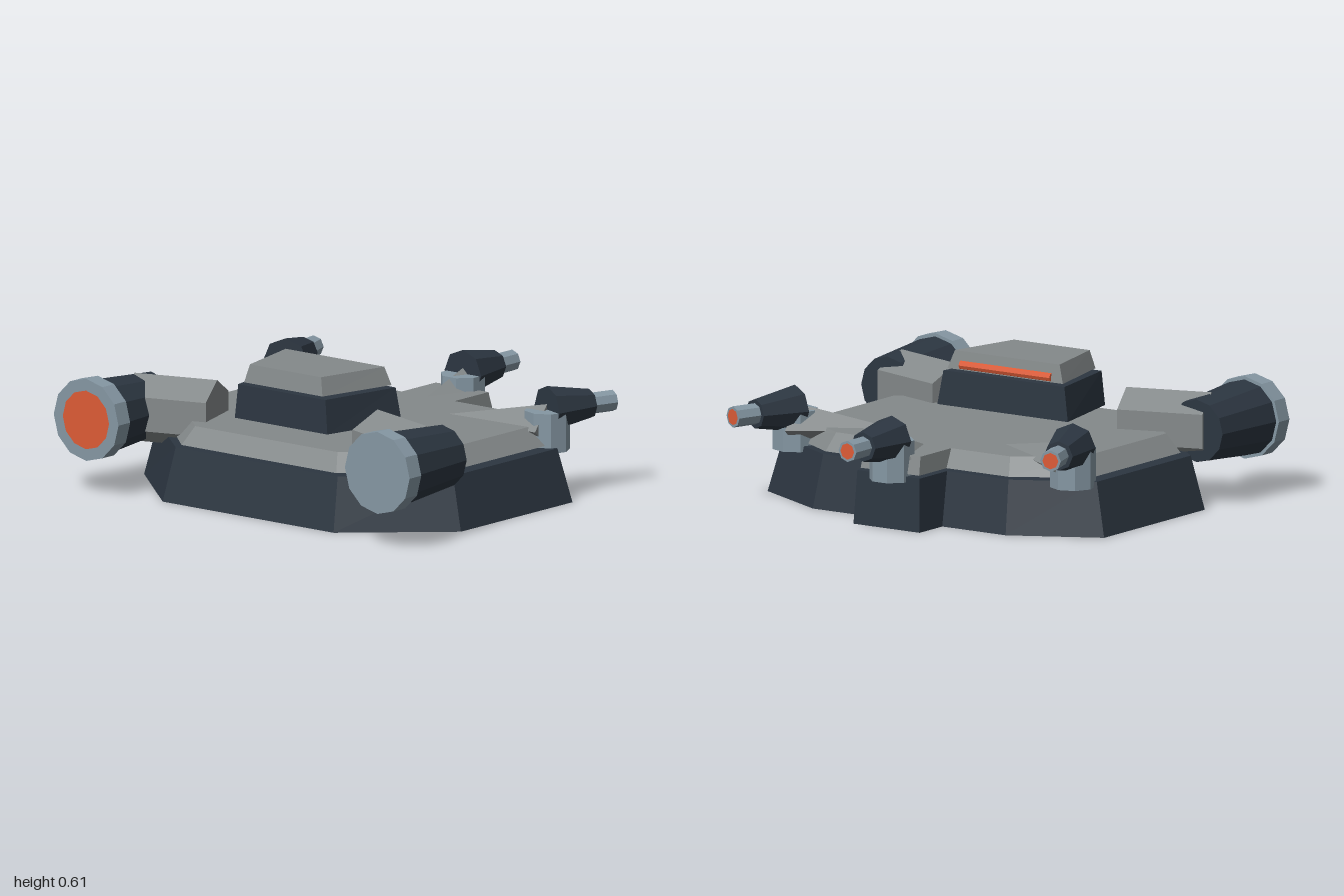
import * as THREE from 'three';
import { ConvexGeometry } from 'three/addons/geometries/ConvexGeometry.js';

const paint = (color) => new THREE.MeshStandardMaterial({ color, flatShading: true });
const dark = paint(0x2c3641), grey = paint(0x84898a), steel = paint(0x8597a3), glow = paint(0xdd5b36);

function add(parent, name, geometry, material, x = 0, y = 0, z = 0) {
  const mesh = new THREE.Mesh(geometry, material);
  mesh.name = name;
  mesh.position.set(x, y, z);
  parent.add(mesh);
  return mesh;
}

// Mirror a half outline of [x, z] points, listed back to front
const mirror = (half) => [...half, ...half.map(([x, z]) => [-x, z]).reverse()];

// Solid with sloping sides between two matching mirrored outlines
function loft(lowHalf, highHalf, y0, y1) {
  const low = mirror(lowHalf), high = mirror(highHalf), n = low.length, pos = [];
  const put = (p, y) => pos.push(p[0], y, p[1]);
  for (let i = 0; i < n; i++) {
    const j = (i + 1) % n;
    put(low[i], y0); put(high[i], y1); put(low[j], y0);
    put(low[j], y0); put(high[i], y1); put(high[j], y1);
  }
  for (const [ring, y, up] of [[low, y0, false], [high, y1, true]]) {
    const faces = THREE.ShapeUtils.triangulateShape(ring.map((p) => new THREE.Vector2(...p)), []);
    for (const f of faces) {
      const [a, b, c] = f.map((k) => ring[k]);
      const facesUp = (b[1] - a[1]) * (c[0] - a[0]) - (b[0] - a[0]) * (c[1] - a[1]) > 0;
      (facesUp === up ? [a, b, c] : [a, c, b]).forEach((p) => put(p, y));
    }
  }
  const g = new THREE.BufferGeometry();
  g.setAttribute('position', new THREE.Float32BufferAttribute(pos, 3));
  g.computeVertexNormals();
  return g;
}

// Faceted tube along z, from z0 to z1
function tube(r0, r1, z0, z1, sides) {
  return new THREE.CylinderGeometry(r1, r0, z1 - z0, sides).rotateX(Math.PI / 2).translate(0, 0, (z0 + z1) / 2);
}

// Tapered spur running along +z to a tip on the deck
function spur(length, width) {
  const v = (x, y, z) => new THREE.Vector3(x, y, z);
  return new ConvexGeometry([v(-width, 0.31, 0), v(width, 0.31, 0), v(0, 0.41, 0), v(0, 0.22, 0), v(0, 0.32, length)]);
}

function rearGun(x, z, turn) {
  const gun = new THREE.Group();
  gun.name = 'rearGun';
  add(gun, 'gunMount', new THREE.CylinderGeometry(0.1, 0.1, 0.175, 8).rotateY(Math.PI / 8), steel, 0, 0.298, 0);
  add(gun, 'gunBody', tube(0.065, 0.103, -0.215, 0, 8), dark, 0, 0.387);
  add(gun, 'gunBarrel', tube(0.047, 0.047, -0.333, -0.2, 8), steel, 0, 0.387);
  add(gun, 'gunMuzzle', new THREE.CircleGeometry(0.036, 8).rotateY(Math.PI), glow, 0, 0.387, -0.3345);
  gun.position.set(x, 0, z);
  gun.rotation.y = turn;
  return gun;
}

export function createModel() {
  const model = new THREE.Group();
  model.name = 'gunPlatform';

  // Hull and raised deck, both with a step at the back
  add(model, 'hull', loft(
    [[0.175, -0.655], [0.175, -0.485], [0.51, -0.485], [0.89, -0.285], [0.89, 0.47], [0.48, 0.838]],
    [[0.165, -0.64], [0.165, -0.435], [0.49, -0.435], [0.83, -0.255], [0.83, 0.45], [0.455, 0.78]],
    0, 0.235), dark);
  add(model, 'deck', loft(
    [[0.155, -0.63], [0.155, -0.425], [0.485, -0.425], [0.787, -0.24], [0.787, 0.435], [0.435, 0.765]],
    [[0.148, -0.61], [0.148, -0.38], [0.46, -0.38], [0.72, -0.215], [0.72, 0.42], [0.4, 0.715]],
    0.245, 0.325), grey);

  // Cabin: dark body, grey roof, glowing strip along the back
  add(model, 'cabinBody', loft([[0.345, 0.215], [0.26, 0.615]], [[0.32, 0.225], [0.245, 0.61]], 0.365, 0.515), dark);
  add(model, 'cabinRoof', loft([[0.305, 0.235], [0.22, 0.6]], [[0.277, 0.25], [0.2, 0.585]], 0.525, 0.605), grey);
  add(model, 'cabinStrip', new THREE.CylinderGeometry(0.02, 0.02, 0.48, 8).rotateZ(Math.PI / 2), glow, 0, 0.545, 0.245);

  for (const s of [-1, 1]) {
    // Front pod, carried on a six-sided arm
    const pod = new THREE.Group();
    pod.name = s > 0 ? 'leftPod' : 'rightPod';
    pod.position.set(s * 0.818, 0.333, 0);
    add(pod, 'podBody', tube(0.138, 0.168, 0.51, 0.875, 12), dark);
    add(pod, 'podRim', tube(0.182, 0.182, 0.87, 0.949, 12), steel);
    if (s < 0) add(pod, 'podLamp', new THREE.CircleGeometry(0.13, 12), glow, 0, 0, 0.9505);
    model.add(pod);
    const arm = add(model, 'podArm', tube(0.15, 0.15, 0, Math.hypot(0.37, 0.115), 6), grey, s * 0.45, 0.335, 0.505);
    arm.rotation.y = Math.atan2(s * 0.37, 0.115);

    // Side guns, splayed outwards, with spurs reaching inwards
    model.add(rearGun(s * 0.735, -0.3, -s * 0.32));
    const sideSpur = add(model, 'gunSpur', spur(Math.hypot(0.47, 0.135), 0.13), grey, s * 0.735, 0, -0.3);
    sideSpur.rotation.y = Math.atan2(-s * 0.47, 0.135);
  }

  // Centre gun and its spur
  model.add(rearGun(0, -0.615, 0));
  add(model, 'gunSpur', spur(0.255, 0.105), grey, 0, 0, -0.615);
  return model;
}
